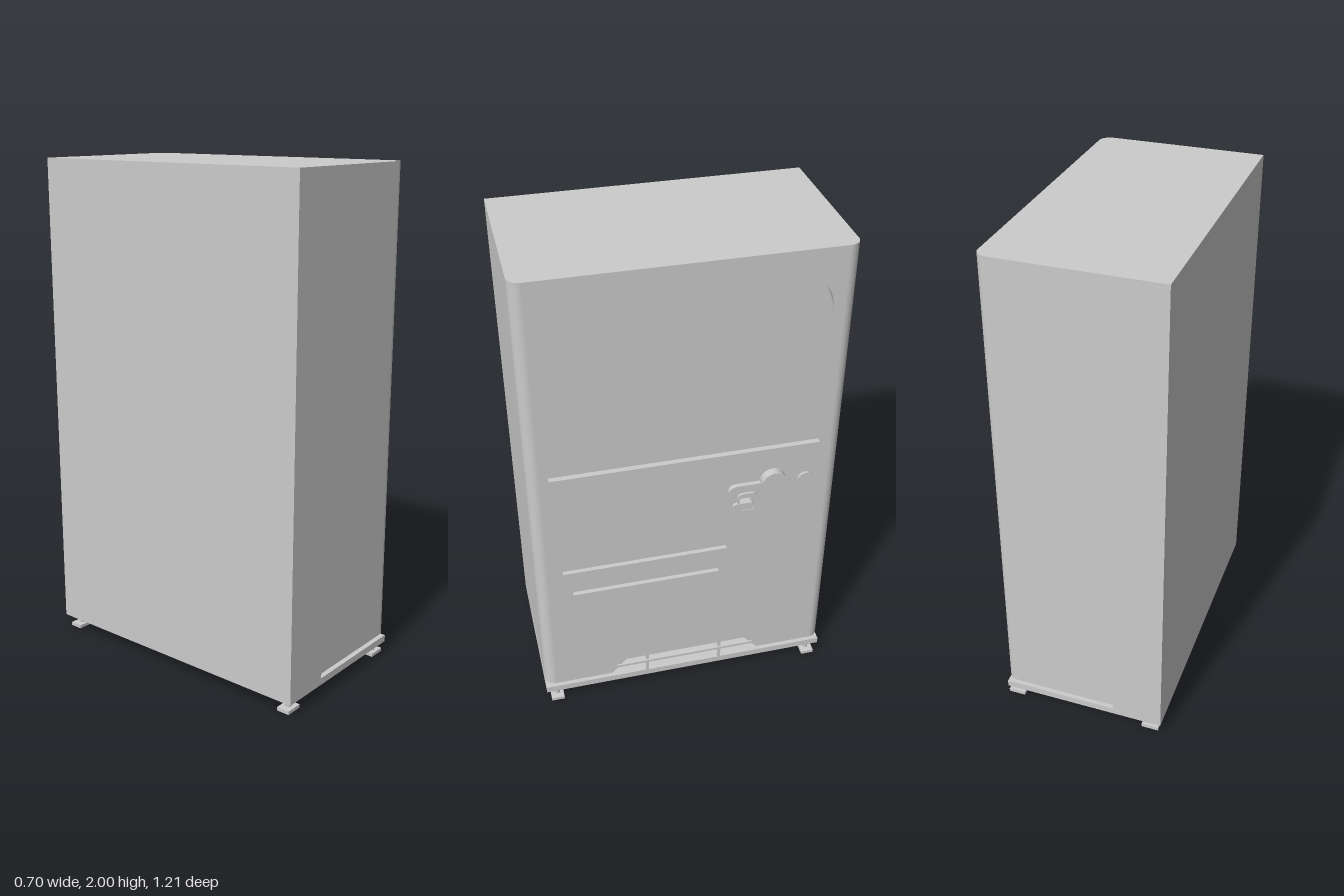
import * as THREE from 'three';

const material = new THREE.MeshStandardMaterial({ color: 0xcccccc });
const FRONT = 0.315, SLAB = 0.27, SIDE = 0.605, R = 0.045;

export function createModel() {
  const model = new THREE.Group();
  model.name = 'vendingMachine';

  const add = (name, geometry) => {
    const mesh = new THREE.Mesh(geometry, material);
    mesh.name = name;
    model.add(mesh);
    return mesh;
  };

  // Box given by its limits
  const box = (name, x0, x1, y0, y1, z0, z1) =>
    add(name, new THREE.BoxGeometry(x1 - x0, y1 - y0, z1 - z0))
      .position.set((x0 + x1) / 2, (y0 + y1) / 2, (z0 + z1) / 2);

  // Rounded rectangle on the door plane (u = -z, v = y), separate top and bottom radii
  const outline = (target, u0, u1, v0, v1, top, bottom = top) => {
    target.moveTo(u0 + bottom, v0);
    target.lineTo(u1 - bottom, v0);
    if (bottom) target.absarc(u1 - bottom, v0 + bottom, bottom, -Math.PI / 2, 0);
    target.lineTo(u1, v1 - top);
    if (top) target.absarc(u1 - top, v1 - top, top, 0, Math.PI / 2);
    target.lineTo(u0 + top, v1);
    if (top) target.absarc(u0 + top, v1 - top, top, Math.PI / 2, Math.PI);
    target.lineTo(u0, v0 + bottom);
    if (bottom) target.absarc(u0 + bottom, v0 + bottom, bottom, Math.PI, Math.PI * 1.5);
    return target;
  };
  const rect = (...a) => outline(new THREE.Shape(), ...a);
  const hole = (...a) => outline(new THREE.Path(), ...a);

  // Door-plane shape extruded outward along +x
  const panel = (name, shape, x0, x1) => {
    const g = new THREE.ExtrudeGeometry(shape, { depth: x1 - x0, bevelEnabled: false, curveSegments: 10 });
    g.rotateY(Math.PI / 2).translate(x0, 0, 0);
    return add(name, g);
  };

  // Cabinet with rounded vertical front corners
  box('cabinet', -0.35, SLAB, 0.1, 2, -SIDE, SIDE);
  for (const s of [1, -1]) {
    const g = new THREE.CylinderGeometry(R, R, 1.9, 16, 1, false, s > 0 ? 0 : Math.PI / 2, Math.PI / 2);
    add('frontCorner', g).position.set(SLAB, 1.05, s * (SIDE - R));
  }

  // Door with window opening and a notch at the bottom
  const w = SIDE - R;
  const door = new THREE.Shape([
    [-w, 0.1], [-0.32, 0.1], [-0.26, 0.17], [0.26, 0.17], [0.32, 0.1], [w, 0.1], [w, 2], [-w, 2],
  ].map(([u, v]) => new THREE.Vector2(u, v)));
  door.holes.push(hole(-0.525, 0.52, 1.18, 1.91, 0.15, 0));
  panel('door', door, SLAB, FRONT);
  box('windowPane', SLAB - 0.01, 0.293, 1.15, 1.94, -0.55, 0.55);

  // Base with a shadow groove around the front half
  box('basePlate', -0.35, FRONT, 0.052, 0.08, -SIDE, SIDE);
  box('baseRear', -0.35, -0.15, 0.08, 0.1, -SIDE, SIDE);
  box('baseCore', -0.15, 0.293, 0.08, 0.1, -0.58, 0.58);

  // Sloped kick vent with a bar and two struts
  const wedge = new THREE.Shape([
    new THREE.Vector2(SLAB, 0.1), new THREE.Vector2(0.312, 0.1), new THREE.Vector2(SLAB, 0.17),
  ]);
  add('kickRamp', new THREE.ExtrudeGeometry(wedge, { depth: 0.63, bevelEnabled: false })).position.z = -0.315;
  box('kickBar', 0.303, 0.322, 0.134, 0.145, -0.295, 0.3);
  for (const z of [0.167, -0.15]) box('kickStrut', 0.303, FRONT, 0.08, 0.172, z - 0.006, z + 0.006);

  // Delivery slot frame
  const frame = rect(-0.5, 0.16, 0.585, 0.728, 0);
  frame.holes.push(hole(-0.465, 0.13, 0.61, 0.708, 0));
  panel('deliveryFrame', frame, FRONT - 0.005, 0.333);

  // Coin panel with recess, collar and lever
  const coin = rect(0.16, 0.352, 0.89, 1.035, 0.03);
  coin.holes.push(hole(0.2, 0.265, 0.918, 0.995, 0.015));
  panel('coinPanel', coin, FRONT - 0.005, 0.333);
  const collar = rect(0.194, 0.271, 0.912, 1.001, 0.02);
  collar.holes.push(hole(0.202, 0.263, 0.92, 0.993, 0.014));
  panel('coinCollar', collar, FRONT, 0.342);
  panel('coinLever', rect(0.175, 0.26, 0.925, 0.957, 0.015), FRONT, 0.345);

  // Round lock and pill-shaped coin slot plate
  const lock = add('lock', new THREE.CylinderGeometry(0.05, 0.05, 0.035, 32));
  lock.rotation.z = -Math.PI / 2;
  lock.position.set(0.3315, 1.035, -0.337);
  panel('slotPlate', rect(0.44, 0.505, 0.88, 1.045, 0.032), FRONT - 0.005, 0.325);

  // Levelling feet
  for (const x of [-0.3, 0.285]) {
    for (const z of [0.56, -0.56]) {
      box('footPlate', x - 0.035, x + 0.035, 0, 0.014, z - 0.027, z + 0.027);
      add('footStem', new THREE.CylinderGeometry(0.012, 0.012, 0.045, 12)).position.set(x, 0.0325, z);
    }
  }
  return model;
}
